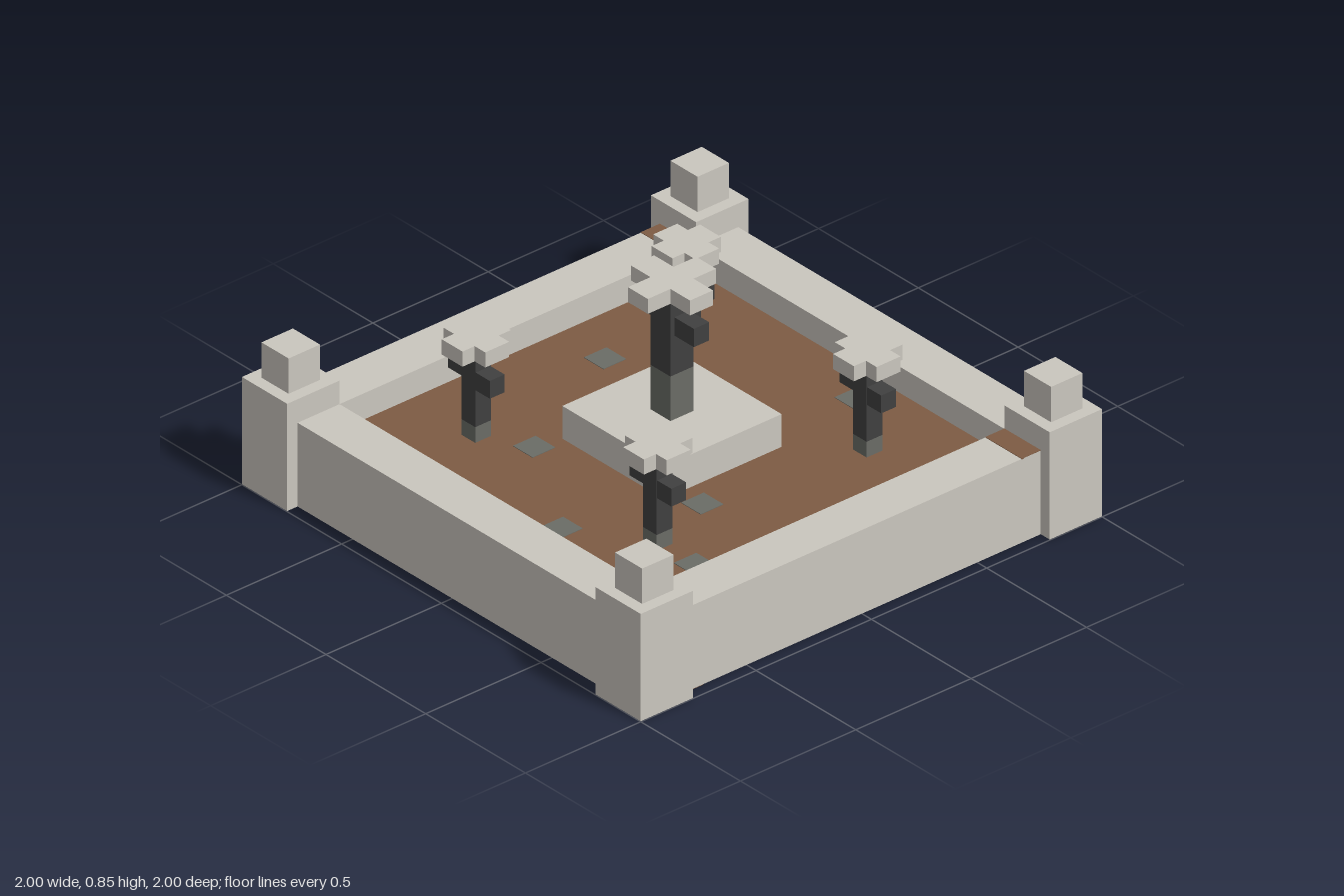
import * as THREE from 'three';

const mat = (name, color) => {
  const m = new THREE.MeshStandardMaterial({ color });
  m.name = name;
  return m;
};

export function createModel() {
  const stone = mat('paleStone', 0xcac6be);
  const soil = mat('brownSoil', 0x7d5b43);
  const moss = mat('greyPebble', 0x6a6c66);
  const dark = mat('darkWood', 0x404040);
  const root = new THREE.Group();
  root.name = 'walledGarden';

  // Box given by its minimum and maximum corners
  const box = (parent, name, material, [x0, y0, z0], [x1, y1, z1]) => {
    const geo = new THREE.BoxGeometry(x1 - x0, y1 - y0, z1 - z0);
    const mesh = new THREE.Mesh(geo, material);
    mesh.position.set((x0 + x1) / 2, (y0 + y1) / 2, (z0 + z1) / 2);
    mesh.name = name;
    parent.add(mesh);
  };

  // Soil bed and central slab
  const ground = 0.22;
  box(root, 'soilBed', soil, [-0.775, 0, -0.775], [0.775, ground, 0.775]);
  box(root, 'centreSlab', stone, [-0.255, ground, -0.255], [0.255, 0.345, 0.255]);

  // Pebbles set in the top of the bed, mirrored on its underside
  const pebbles = [[0.18, -0.64], [0, -0.275], [-0.55, -0.185], [0.36, 0.18],
    [-0.275, 0.36], [0.635, 0.45], [0.175, 0.63]];
  for (const [x, z] of pebbles) {
    for (const [y, pz] of [[ground, z], [0, -z]]) {
      box(root, 'pebble', moss, [x - 0.049, y - 0.002, pz - 0.049], [x + 0.049, y + 0.002, pz + 0.049]);
    }
  }

  // Perimeter walls, with a soil patch at one end of each side wall
  for (const s of [-1, 1]) {
    const span = (a, b) => [Math.min(s * a, s * b), Math.max(s * a, s * b)];
    const [w0, w1] = span(0.773, 0.955);
    box(root, 'endWall', stone, [-0.78, 0, w0], [0.78, 0.32, w1]);
    box(root, 'sideWall', stone, [w0, 0, -0.78], [w1, 0.32, 0.78]);
    box(root, 'wallTopSoil', soil, [w0, 0.318, -0.775], [w1, 0.322, -0.69]);
    box(root, 'wallBottomSoil', soil, [w0, -0.002, 0.69], [w1, 0.002, 0.775]);
  }

  // Corner pillars with small caps
  for (const sx of [-1, 1]) for (const sz of [-1, 1]) {
    const pillar = new THREE.Group();
    pillar.name = 'cornerPillar';
    pillar.position.set(sx * 0.8865, 0, sz * 0.8865);
    box(pillar, 'pillarBlock', stone, [-0.1135, 0, -0.1135], [0.1135, 0.41, 0.1135]);
    box(pillar, 'pillarCap', stone, [-0.068, 0.41, -0.068], [0.068, 0.545, 0.068]);
    root.add(pillar);
  }

  // Post with a grey foot, two uneven branches and a cross-shaped top
  const post = (name, x, z, p) => {
    const g = new THREE.Group();
    g.name = name;
    g.position.set(x, 0, z);
    const { r, reach, arm, y0, foot, y1, y2, left, right, b } = p;
    box(g, 'postFoot', moss, [-r, y0, -r], [r, foot, r]);
    box(g, 'postShaft', dark, [-r, foot, -r], [r, y1, r]);
    box(g, 'rightBranch', dark, [-reach, left[0], -b], [-r, left[1], b]);
    box(g, 'leftBranch', dark, [r, right[0], -b], [reach, right[1], b]);
    box(g, 'crossTopBar', stone, [-reach, y1, -arm], [reach, y2, arm]);
    for (const [a, c] of [[-reach, -arm], [arm, reach]]) {
      box(g, 'crossTopArm', stone, [-arm, y1, a], [arm, y2, c]);
    }
    root.add(g);
  };

  post('centrePost', 0, 0, { r: 0.05, reach: 0.148, arm: 0.05, y0: 0.345, foot: 0.515,
    y1: 0.793, y2: 0.85, left: [0.69, 0.75], right: [0.665, 0.735], b: 0.033 });
  for (const x of [-0.455, 0.455]) for (const z of [-0.455, 0.455]) {
    post('smallPost', x, z, { r: 0.034, reach: 0.105, arm: 0.052, y0: ground, foot: 0.28,
      y1: 0.547, y2: 0.605, left: [0.445, 0.507], right: [0.42, 0.488], b: 0.032 });
  }
  return root;
}
